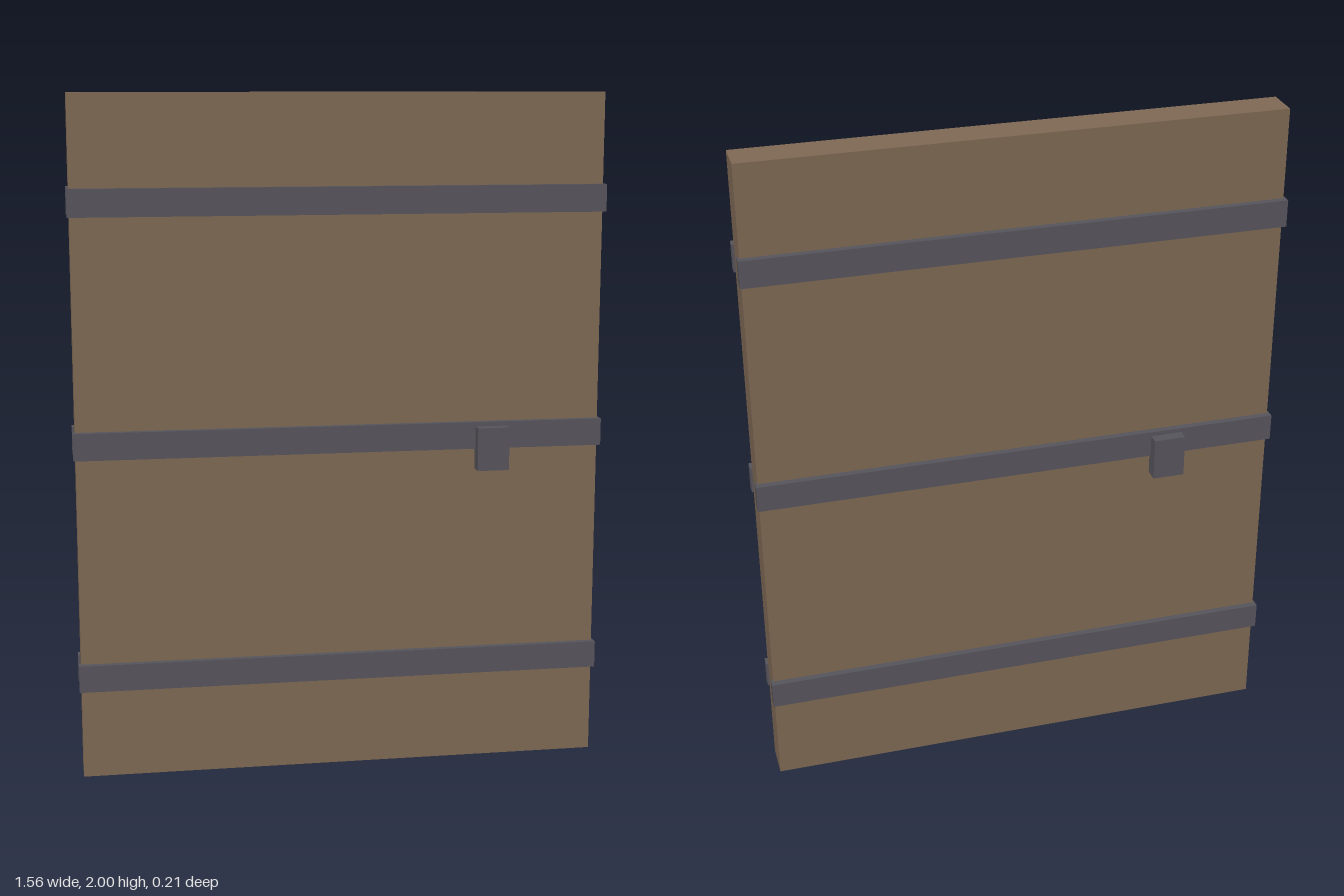
import * as THREE from 'three';

export function createModel() {
  const door = new THREE.Group();
  door.name = 'door';

  const wood = new THREE.MeshStandardMaterial({ color: 0x806a55 });
  wood.name = 'brown wood';
  const iron = new THREE.MeshStandardMaterial({ color: 0x58565d });
  iron.name = 'dark iron';

  const addBox = (parent, name, material, size, position) => {
    const mesh = new THREE.Mesh(new THREE.BoxGeometry(...size), material);
    mesh.name = name;
    mesh.position.set(...position);
    parent.add(mesh);
  };

  // Wooden slab
  addBox(door, 'panel', wood, [1.55, 2, 0.104], [0, 1, 0]);

  // Each face carries three straps and a handle; the back is a half turn of the front
  for (const [name, turn] of [['frontFittings', 0], ['backFittings', Math.PI]]) {
    const fittings = new THREE.Group();
    fittings.name = name;
    fittings.rotation.y = turn;
    for (const y of [0.307, 1.0, 1.695]) {
      addBox(fittings, 'strap', iron, [1.563, 0.08, 0.031], [0, y, 0.0565]);
    }
    addBox(fittings, 'handle', iron, [0.095, 0.128, 0.043], [0.446, 0.963, 0.083]);
    door.add(fittings);
  }

  return door;
}
